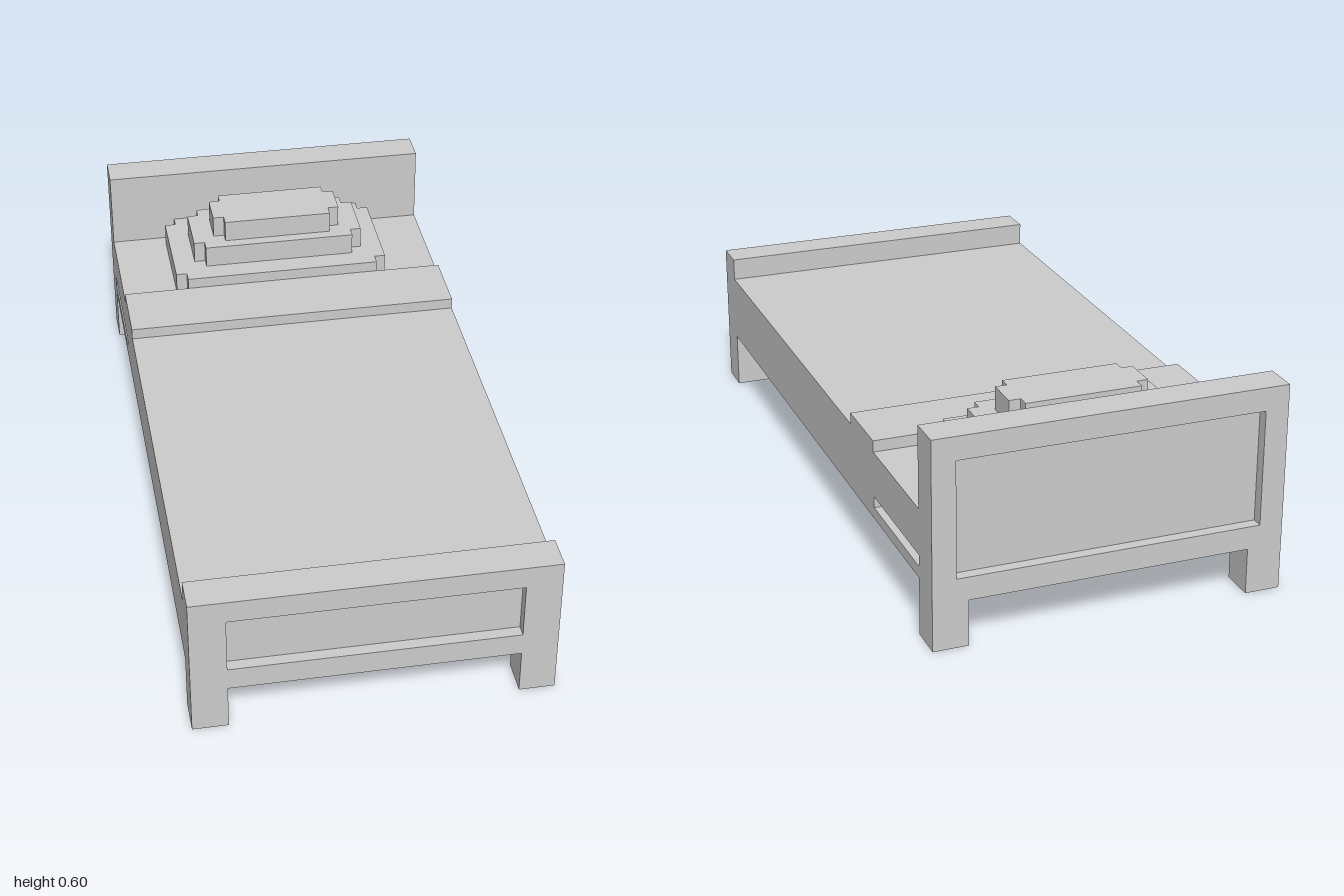
import * as THREE from 'three';

const U = 1 / 30; // block size: the whole bed sits on this step
const material = new THREE.MeshStandardMaterial({ color: 0xcccccc, flatShading: true });

function add(parent, name, geometry) {
  const mesh = new THREE.Mesh(geometry, material);
  mesh.name = name;
  parent.add(mesh);
  return mesh;
}

// Box from minimum and maximum corners, in blocks
function block(parent, name, [x0, y0, z0], [x1, y1, z1]) {
  const geometry = new THREE.BoxGeometry((x1 - x0) * U, (y1 - y0) * U, (z1 - z0) * U);
  geometry.translate((x0 + x1) / 2 * U, (y0 + y1) / 2 * U, (z0 + z1) / 2 * U);
  return add(parent, name, geometry);
}

const toPoints = (pairs) => pairs.map(([a, b]) => new THREE.Vector2(a * U, b * U));

// Shape in the xy plane pushed from z0 to z1, in blocks
function extrude(shape, z0, z1) {
  const geometry = new THREE.ExtrudeGeometry(shape, { depth: (z1 - z0) * U, bevelEnabled: false });
  return geometry.translate(0, 0, z0 * U);
}

// End board with two legs and a recessed panel on its outer face
function endBoard(name, height, panelX, panelTop) {
  const board = new THREE.Group();
  board.name = name;
  const outline = toPoints([
    [-15, 0], [-12, 0], [-12, 4], [12, 4], [12, 0], [15, 0], [15, height], [-15, height],
  ]);
  const frame = new THREE.Shape(outline);
  frame.holes.push(new THREE.Path(toPoints([
    [-panelX, 6], [-panelX, panelTop], [panelX, panelTop], [panelX, 6],
  ])));
  add(board, name + 'Panel', extrude(new THREE.Shape(outline), 0, 2));
  add(board, name + 'Frame', extrude(frame, 2, 3));
  return board;
}

// Cushion layer with a one-block notch cut from each corner
function pillowLayer(parent, name, x, z0, z1, y) {
  const outline = toPoints([
    [-x + 1, -z1], [x - 1, -z1], [x - 1, -z1 + 1], [x, -z1 + 1],
    [x, -z0 - 1], [x - 1, -z0 - 1], [x - 1, -z0], [-x + 1, -z0],
    [-x + 1, -z0 - 1], [-x, -z0 - 1], [-x, -z1 + 1], [-x + 1, -z1 + 1],
  ]);
  const geometry = extrude(new THREE.Shape(outline), 0, 2);
  geometry.rotateX(-Math.PI / 2).translate(0, y * U, 0);
  add(parent, name, geometry);
}

export function createModel() {
  const bed = new THREE.Group();
  bed.name = 'bed';

  // End boards, panels facing outwards
  const foot = endBoard('footboard', 13, 12, 11);
  foot.position.z = 27 * U;
  const head = endBoard('headboard', 18, 13, 16);
  head.rotation.y = Math.PI;
  head.position.z = -27 * U;
  bed.add(foot, head);

  // Blanket hanging over the sides, with its folded-back edge
  block(bed, 'blanket', [-15, 5, -16], [15, 11, 27]);
  block(bed, 'blanketFold', [-15, 11, -16], [15, 12, -10]);

  // Exposed mattress end, with a groove along each side
  const section = new THREE.Shape(toPoints([
    [-15, 5], [15, 5], [15, 6], [14, 6], [14, 7], [15, 7], [15, 11],
    [-15, 11], [-15, 7], [-14, 7], [-14, 6], [-15, 6],
  ]));
  add(bed, 'mattress', extrude(section, -27, -16));

  // Stepped pillow
  const pillow = new THREE.Group();
  pillow.name = 'pillow';
  pillowLayer(pillow, 'pillowBase', 10, -27, -16, 11);
  pillowLayer(pillow, 'pillowMiddle', 8, -25, -18, 13);
  pillowLayer(pillow, 'pillowTop', 6, -24, -19, 15);
  bed.add(pillow);

  return bed;
}
